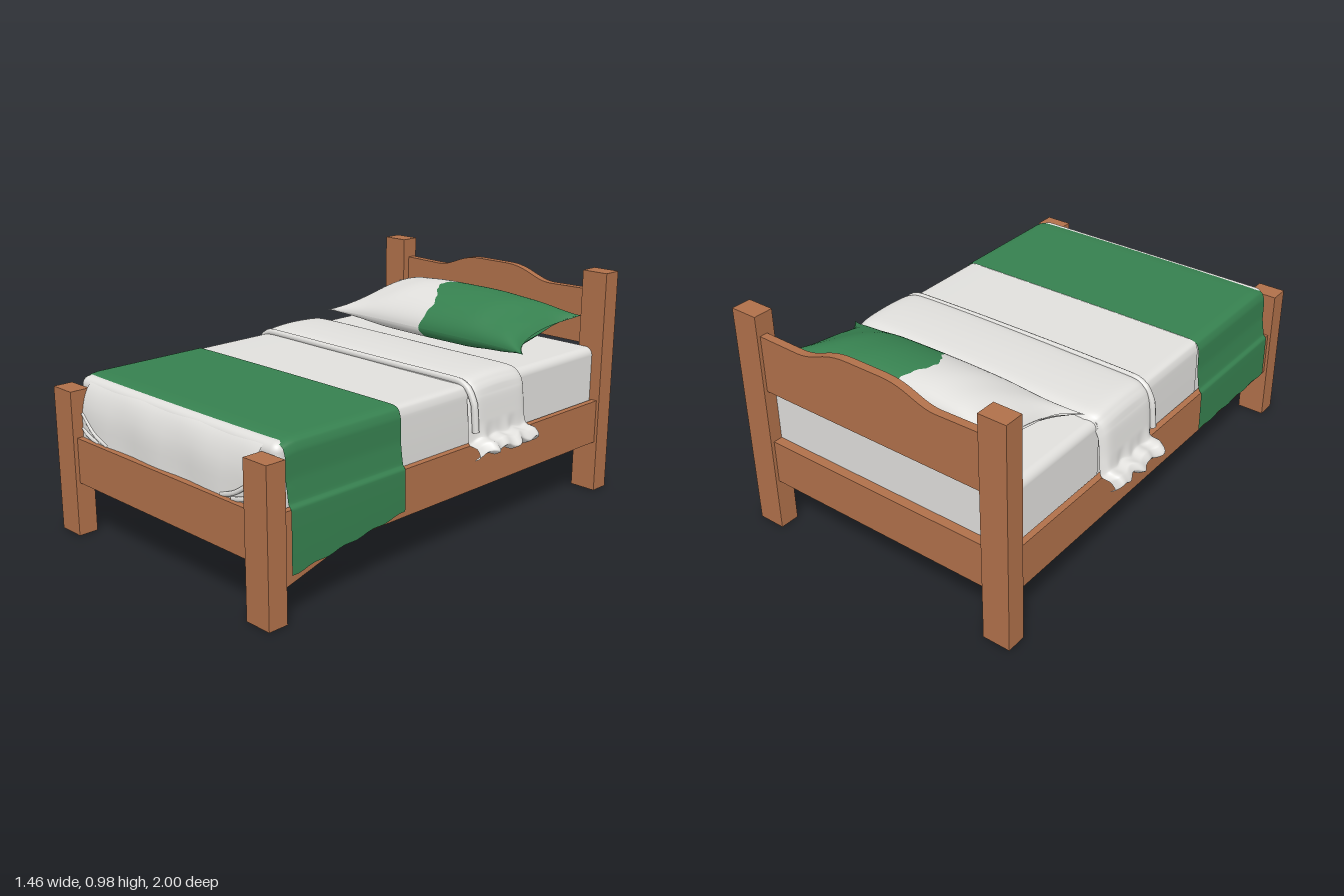
import * as THREE from 'three';
import { RoundedBoxGeometry } from 'three/addons/geometries/RoundedBoxGeometry.js';

const V = (x, y, z) => new THREE.Vector3(x, y, z);

// Smooth surface from a rule f(u, v), u and v in 0..1
function sheet(nu, nv, f) {
  const pos = [], idx = [];
  for (let i = 0; i <= nu; i++)
    for (let j = 0; j <= nv; j++) pos.push(...f(i / nu, j / nv));
  for (let i = 0; i < nu; i++)
    for (let j = 0; j < nv; j++) {
      const a = i * (nv + 1) + j, b = a + nv + 1;
      idx.push(a, b, a + 1, b, b + 1, a + 1);
    }
  const g = new THREE.BufferGeometry();
  g.setAttribute('position', new THREE.Float32BufferAttribute(pos, 3));
  g.setIndex(idx);
  g.computeVertexNormals();
  return g;
}

// Left-right symmetric curve in the xy plane from its +x half (hem to centre)
function overBed(half, tension = 0.2) {
  const left = half.map(([x, y]) => V(-x, y, 0));
  const right = half.map(([x, y]) => V(x, y, 0)).reverse();
  return new THREE.CatmullRomCurve3([...left, ...right], false, 'catmullrom', tension);
}

export function createModel() {
  const bed = new THREE.Group();
  bed.name = 'bed';
  const material = (name, color, side = THREE.FrontSide) => {
    const m = new THREE.MeshStandardMaterial({ color, side });
    m.name = name;
    return m;
  };
  const wood = material('wood', 0xb0704a);
  const white = material('whiteCloth', 0xe0dfdc, THREE.DoubleSide);
  const green = material('greenCloth', 0x36804f, THREE.DoubleSide);

  const add = (name, geometry, mat) => {
    const m = new THREE.Mesh(geometry, mat);
    m.name = name;
    bed.add(m);
    return m;
  };
  // Box given by its limits
  const box = (name, x0, x1, y0, y1, z0, z1, mat = wood) =>
    add(name, new THREE.BoxGeometry(x1 - x0, y1 - y0, z1 - z0), mat)
      .position.set((x0 + x1) / 2, (y0 + y1) / 2, (z0 + z1) / 2);

  // Posts and ledges
  for (const s of [-1, 1]) {
    const [a, b] = s > 0 ? [0.525, 0.645] : [-0.645, -0.525];
    box('headPost', a, b, 0, 0.98, -1, -0.915);
    box('footPost', a, b, 0, 0.61, 0.915, 1);
    const [c, d] = s > 0 ? [0.572, 0.606] : [-0.606, -0.572];
    box('mattressLedge', c, d, 0.235, 0.28, -0.95, 0.94);
  }

  // Cross rails
  box('footRail', -0.53, 0.53, 0.225, 0.415, 0.945, 0.982);
  box('headRail', -0.53, 0.53, 0.225, 0.415, -0.985, -0.945);

  // Side rails, the left one widening towards the foot
  for (const s of [-1, 1]) {
    const shape = new THREE.Shape();
    shape.moveTo(-0.93, 0.415);
    shape.lineTo(-0.93, 0.225);
    if (s > 0) shape.lineTo(0.58, 0.225).lineTo(0.92, 0.13);
    else shape.lineTo(0.92, 0.225);
    shape.lineTo(0.92, 0.415);
    const g = new THREE.ExtrudeGeometry(shape, { depth: 0.027, bevelEnabled: false });
    g.rotateY(-Math.PI / 2); // shape x becomes z, depth runs to -x
    g.translate(s > 0 ? 0.632 : -0.605, 0, 0);
    add('sideRail', g, wood);
  }

  // Headboard with a raised middle
  const board = new THREE.Shape();
  board.moveTo(-0.53, 0.65);
  board.lineTo(0.53, 0.65);
  board.lineTo(0.53, 0.892);
  board.lineTo(0.33, 0.888);
  board.bezierCurveTo(0.24, 0.888, 0.2, 0.945, 0.08, 0.945);
  board.lineTo(-0.08, 0.945);
  board.bezierCurveTo(-0.2, 0.945, -0.24, 0.888, -0.33, 0.888);
  board.lineTo(-0.53, 0.892);
  add('headboard', new THREE.ExtrudeGeometry(board, { depth: 0.035, bevelEnabled: false, curveSegments: 12 }), wood)
    .position.z = -0.985;

  // Mattress
  add('mattress', new RoundedBoxGeometry(1.19, 0.368, 1.857, 4, 0.035), white)
    .position.set(0, 0.464, -0.0165);

  // Sheet bulging between the foot posts
  const tuck = new THREE.CatmullRomCurve3([
    V(0, 0.645, 0.86), V(0, 0.64, 0.895), V(0, 0.605, 0.925), V(0, 0.53, 0.95), V(0, 0.41, 0.958)]);
  add('footSheet', sheet(12, 16, (u, v) => {
    const p = tuck.getPoint(v);
    return [1.046 * (0.5 - u), p.y, p.z + 0.004 * Math.sin(u * 19 + v * 4) * v];
  }), white);

  // Tucked corner folds at the foot
  for (const s of [-1, 1])
    for (const k of [0, 0.06])
      add('cornerFold', new THREE.TubeGeometry(new THREE.CatmullRomCurve3([
        V(s * (0.35 + k), 0.415, 0.955), V(s * (0.43 + k * 0.8), 0.445 - k * 0.2, 0.958),
        V(s * 0.525, 0.51 - k, 0.948)]), 12, 0.01, 6), white);

  // White blanket tucked inside the side rails
  const tucked = overBed([[0.602, 0.41], [0.603, 0.5], [0.602, 0.61], [0.592, 0.64], [0.56, 0.651], [0.2, 0.653]]);
  add('whiteBlanket', sheet(8, 60, (u, v) => {
    const p = tucked.getPoint(v);
    return [p.x, p.y, -0.4 + 0.72 * u];
  }), white);

  // Green blanket draped outside the side rails
  const draped = overBed([[0.639, 0.22], [0.639, 0.33], [0.638, 0.415], [0.624, 0.435],
    [0.612, 0.52], [0.61, 0.61], [0.598, 0.642], [0.56, 0.655], [0.2, 0.657]]);
  add('greenBlanket', sheet(20, 80, (u, v) => {
    const p = draped.getPoint(v);
    const low = Math.max(0, (0.415 - p.y) / 0.195); // 1 at the hem
    const hem = p.x > 0 ? 0.03 - 0.075 * u : 0.015;
    const drop = p.y > 0.5 ? 0.012 * Math.max(0, u - 0.93) / 0.07 : 0;
    return [p.x, p.y - drop + low * (hem + 0.004 * Math.sin(u * 25)), 0.315 + 0.57 * u];
  }), green);

  // Folded-back band with rumpled hanging ends
  const band = overBed([[0.69, 0.385], [0.715, 0.402], [0.695, 0.432], [0.655, 0.445], [0.645, 0.51],
    [0.632, 0.6], [0.608, 0.645], [0.55, 0.672], [0.2, 0.675]], 0.35);
  add('foldedBand', sheet(36, 110, (u, v) => {
    const p = band.getPoint(v);
    const edge = Math.pow(Math.abs(2 * u - 1), 10);
    const hem = THREE.MathUtils.clamp((0.5 - p.y) / 0.1, 0, 1);
    const ripple = Math.sin(u * 17) + 0.6 * Math.sin(u * 31 + 1);
    const puff = p.y > 0.62 ? 0.01 * Math.sin(u * Math.PI) : 0;
    return [
      p.x * (1 - 0.04 * edge + 0.014 * hem * ripple),
      p.y - 0.022 * edge + puff + 0.008 * hem * Math.sin(u * 23),
      -0.41 + 0.345 * u + 0.005 * Math.sin(v * 26)];
  }), white);

  // Rolled edge of the band
  const roll = overBed([[0.645, 0.47], [0.634, 0.58], [0.606, 0.636], [0.55, 0.662], [0.2, 0.664]]);
  roll.points.forEach((p) => { p.z = -0.075 + 0.006 * Math.cos(p.x * 3); });
  add('bandEdge', new THREE.TubeGeometry(roll, 70, 0.014, 8), white);

  // Pillow: loops around the cushion, split by a wavy colour line
  const pillow = (u, w) => {
    const v = Math.cos(w), s = Math.sin(w);
    const full = Math.pow(Math.max(0, 1 - Math.pow(Math.abs(u), 3.2)), 0.75);
    const crease = 0.006 * Math.sin(u * 14 + v * 3) * u * u;
    const x = u * (0.49 + (0.065 + 0.02 * v) * Math.pow(Math.abs(v), 3));
    const z = -0.677 + v * (0.192 + 0.035 * Math.pow(Math.abs(u), 5));
    const y = 0.742 - 0.042 * v + full * (s > 0 ? 0.113 : 0.09) * s + crease * s;
    return [x, Math.max(y, 0.654), z];
  };
  const split = (w) => {
    const v = Math.cos(w);
    return -0.06 - 0.13 * Math.cos((v + 0.2) * 2.6) * (1 - v * v) + 0.01 * Math.sin(v * 22);
  };
  const half = (from, to) => sheet(30, 64, (a, b) => {
    const w = b * Math.PI * 2;
    return pillow(THREE.MathUtils.lerp(from(w), to(w), a), w);
  });
  add('pillowWhiteHalf', half(() => -1, split), white);
  add('pillowGreenHalf', half(split, () => 1), green);

  return bed;
}
